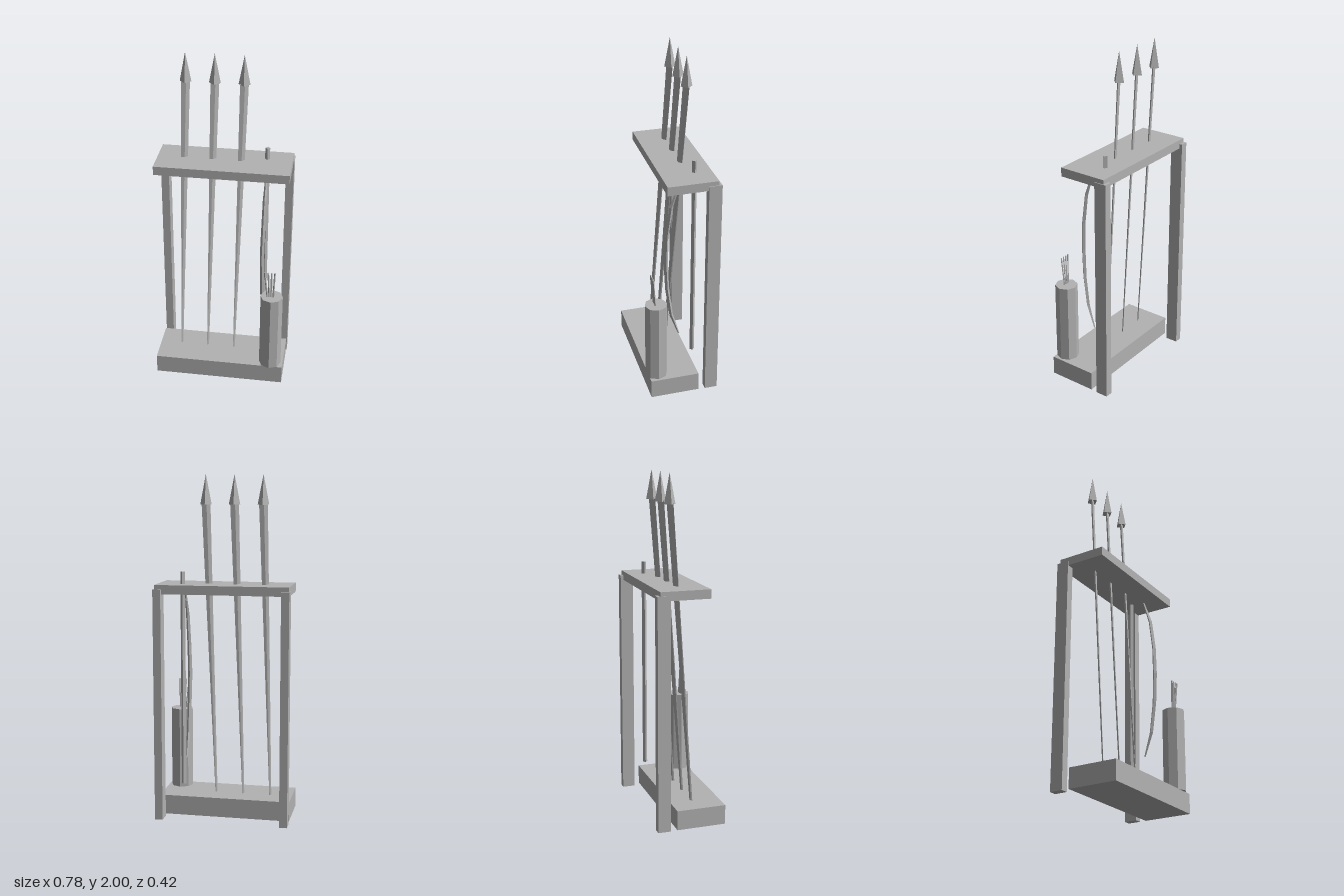
import * as THREE from 'three';

const grey = new THREE.MeshStandardMaterial({ color: 0xb2b2b2, flatShading: true });
grey.name = 'grey';

// Closed bar through rising four-sided rings; each ring is [x, y, z, ux, uz],
// (ux, uz) being half its long diagonal and k the ratio of the short one.
function loft(rings, k = 1) {
  const pos = [];
  const idx = [];
  rings.forEach(([x, y, z, ux, uz]) => {
    const vx = uz * k, vz = -ux * k;
    pos.push(x + ux, y, z + uz, x + vx, y, z + vz, x - ux, y, z - uz, x - vx, y, z - vz);
  });
  for (let r = 0; r < rings.length - 1; r++) {
    for (let i = 0; i < 4; i++) {
      const a = r * 4 + i, b = r * 4 + (i + 1) % 4;
      idx.push(a, b, b + 4, a, b + 4, a + 4);
    }
  }
  const t = (rings.length - 1) * 4;
  idx.push(0, 2, 1, 0, 3, 2, t, t + 1, t + 2, t, t + 2, t + 3);
  const g = new THREE.BufferGeometry();
  g.setAttribute('position', new THREE.Float32BufferAttribute(pos, 3));
  g.setIndex(idx);
  const flat = g.toNonIndexed();
  flat.computeVertexNormals();
  return flat;
}

export function createModel() {
  const model = new THREE.Group();
  model.name = 'weaponRack';

  const add = (name, geometry, x = 0, y = 0, z = 0, parent = model) => {
    const mesh = new THREE.Mesh(geometry, grey);
    mesh.name = name;
    mesh.position.set(x, y, z);
    parent.add(mesh);
    return mesh;
  };
  // Box from its limits on each axis
  const box = (name, x0, x1, y0, y1, z0, z1) =>
    add(name, new THREE.BoxGeometry(x1 - x0, y1 - y0, z1 - z0),
      (x0 + x1) / 2, (y0 + y1) / 2, (z0 + z1) / 2);

  // Rack frame
  box('base', -0.387, 0.387, 0, 0.115, -0.096, 0.194);
  box('shelf', -0.387, 0.385, 1.328, 1.38, -0.194, 0.096);
  box('rightPost', -0.391, -0.345, 0, 1.355, -0.211, -0.136);
  box('leftPost', 0.344, 0.39, 0, 1.355, -0.211, -0.136);

  // Leaning spears with tapered shafts
  for (const x of [-0.224, -0.06, 0.104]) {
    const spear = new THREE.Group();
    spear.name = 'spear';
    model.add(spear);
    add('spearShaft', loft([
      [x - 0.033, 0.1, 0.031, 0.005, -0.007],
      [x, 1.835, -0.086, 0.023, -0.012],
    ], 0.35), 0, 0, 0, spear);
    add('spearHead', new THREE.ConeGeometry(0.033, 0.17, 4), x, 1.915, -0.088, spear);
  }

  // Upright staff
  add('staff', new THREE.CylinderGeometry(0.014, 0.014, 1.255, 4), 0.24, 0.8225, -0.097);

  // Bow, curved towards the front
  const bow = [
    [0.244, 0.33, -0.012, 0.005], [0.243, 0.47, 0.034, 0.011], [0.241, 0.65, 0.058, 0.012],
    [0.238, 0.83, 0.066, 0.013], [0.241, 1.0, 0.06, 0.012], [0.243, 1.18, 0.036, 0.011],
    [0.244, 1.32, -0.01, 0.005],
  ];
  add('bow', loft(bow.map(([x, y, z, r]) => [x, y, z, r, 0])));

  // Quiver and its arrows
  add('quiver', new THREE.CylinderGeometry(0.066, 0.066, 0.485, 8), 0.309, 0.3575, 0.144);
  [[0.285, 0.267], [0.296, 0.287], [0.307, 0.307], [0.319, 0.326]].forEach(([low, high]) => {
    add('arrow', loft([[low, 0.59, 0.15, 0.005, 0], [high, 0.775, 0.163, 0.005, 0]]));
  });

  return model;
}
